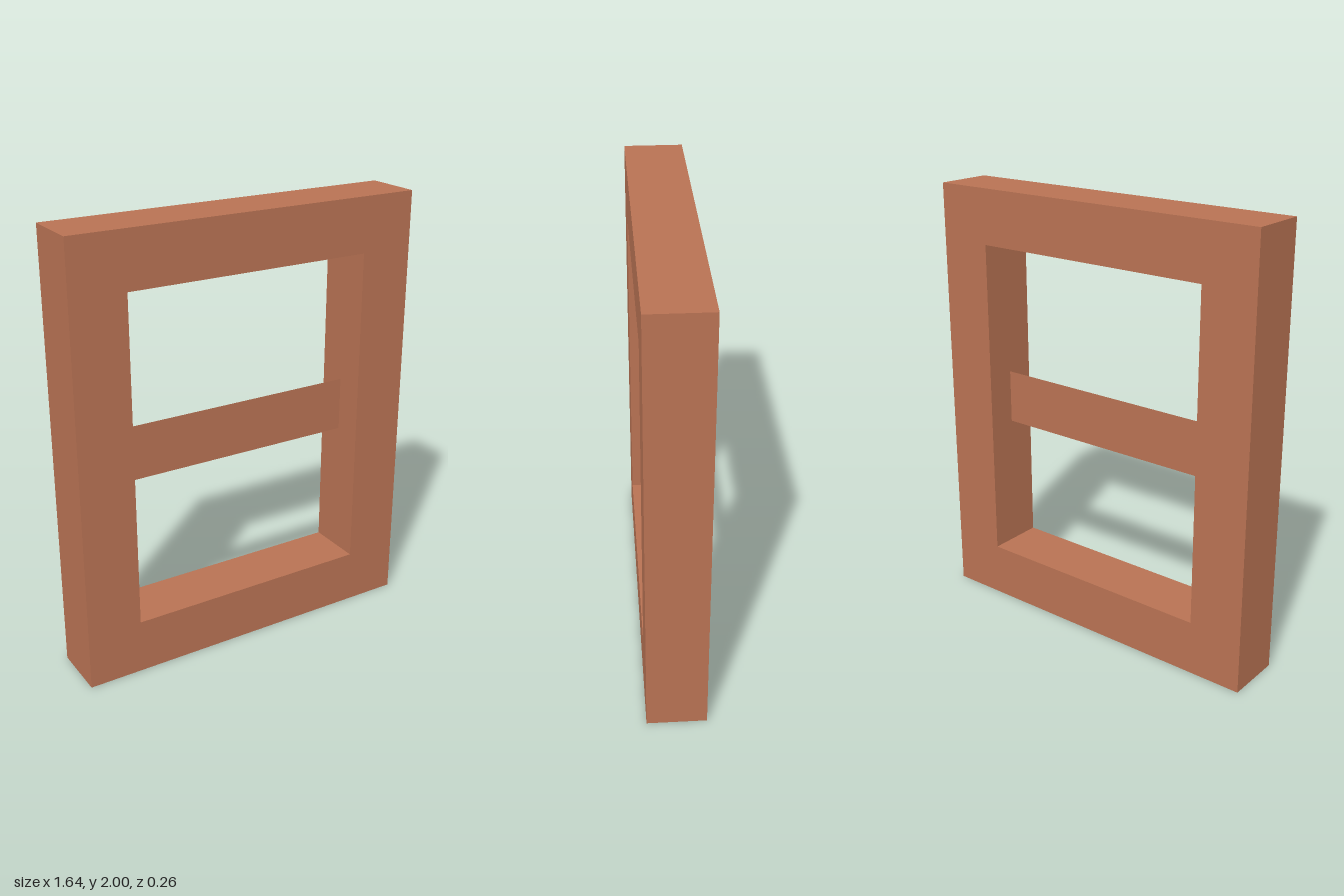
import * as THREE from 'three';

const WIDTH = 1.645, HEIGHT = 2, DEPTH = 0.264, BORDER = 0.25;

export function createModel() {
  const group = new THREE.Group();
  group.name = 'window';
  const wood = new THREE.MeshStandardMaterial({ color: 0xb87253 });
  const woodThin = new THREE.MeshStandardMaterial({ color: 0xb87253, side: THREE.DoubleSide });

  // Rectangular frame with one large opening
  const w = WIDTH / 2, iw = w - BORDER;
  const outline = new THREE.Shape([
    new THREE.Vector2(-w, 0), new THREE.Vector2(w, 0),
    new THREE.Vector2(w, HEIGHT), new THREE.Vector2(-w, HEIGHT),
  ]);
  outline.holes.push(new THREE.Path([
    new THREE.Vector2(-iw, BORDER), new THREE.Vector2(-iw, HEIGHT - BORDER),
    new THREE.Vector2(iw, HEIGHT - BORDER), new THREE.Vector2(iw, BORDER),
  ]));
  const frameGeometry = new THREE.ExtrudeGeometry(outline, { depth: DEPTH, bevelEnabled: false });
  frameGeometry.translate(0, 0, -DEPTH / 2);
  const frame = new THREE.Mesh(frameGeometry, wood);
  frame.name = 'frame';
  group.add(frame);

  // Flat crossbar in the middle of the frame's depth
  const crossbar = new THREE.Mesh(new THREE.PlaneGeometry(iw * 2, BORDER), woodThin);
  crossbar.name = 'crossbar';
  crossbar.position.y = HEIGHT / 2;
  group.add(crossbar);

  return group;
}
